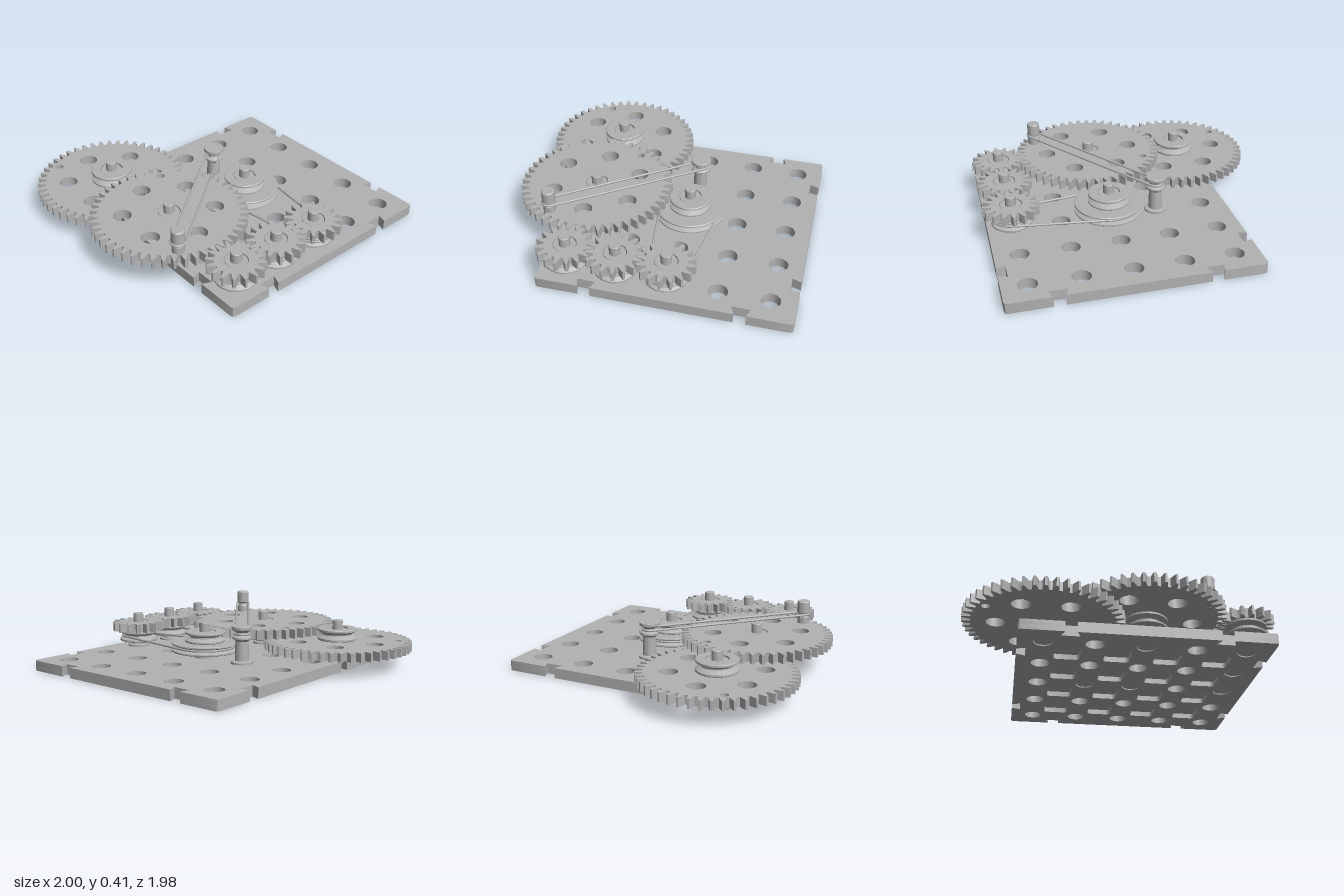
import * as THREE from 'three';
import { toCreasedNormals } from 'three/addons/utils/BufferGeometryUtils.js';

const P = 0.326;            // grid pitch of the base plate
const CX = 0.16, CZ = -0.177; // plate centre
const gridX = i => CX + P * i;
const gridZ = i => CZ + P * i;

export function createModel() {
  const model = new THREE.Group();
  const grey = new THREE.MeshStandardMaterial({ color: 0xb2b2b2 });
  grey.name = 'plastic grey';

  const add = (name, geo, x = 0, y = 0, z = 0, parent = model) => {
    const m = new THREE.Mesh(geo, grey);
    m.name = name;
    m.position.set(x, y, z);
    parent.add(m);
    return m;
  };
  // Extrude a shape drawn in x/z between two heights
  const slab = (shape, y0, y1) => {
    const g = new THREE.ExtrudeGeometry(shape, { depth: y1 - y0, bevelEnabled: false, curveSegments: 16 });
    g.rotateX(Math.PI / 2).translate(0, y1, 0);
    return toCreasedNormals(g, 0.5);
  };
  const turned = pts => toCreasedNormals(
    new THREE.LatheGeometry(pts.map(p => new THREE.Vector2(...p)), 40), 0.4);
  const circle = (x, z, r) => new THREE.Path().absarc(x, z, r, 0, Math.PI * 2, true);

  // Rounded square pocket
  const pocket = (x, z, h, c) => {
    const p = new THREE.Path();
    for (let i = 0; i < 4; i++) {
      const a = i * Math.PI / 2;
      const sx = i === 0 || i === 3 ? 1 : -1, sz = i < 2 ? 1 : -1;
      p.absarc(x + sx * (h - c), z + sz * (h - c), c, a, a + Math.PI / 2, false);
    }
    p.closePath();
    return p;
  };

  // Base plate: dovetail notches on every side, through holes, pockets beneath
  const plateShape = () => {
    const s = new THREE.Shape(), H = 0.815, c = 0.02, d = 0.06;
    const side = [[-H, -H + c], [-H + c * 0.3, -H + c * 0.3], [-H + c, -H]];
    const edge = [[-H + c, -H]];
    for (const m of [-1.5 * P, 1.5 * P]) {
      edge.push([m - 0.038, -H], [m - 0.06, -H + d], [m + 0.06, -H + d], [m + 0.038, -H]);
    }
    const pts = [];
    for (let k = 0; k < 4; k++) {
      const co = Math.round(Math.cos(k * Math.PI / 2)), si = Math.round(Math.sin(k * Math.PI / 2));
      for (const [x, z] of [...side.slice(0, 2), ...edge]) {
        pts.push(new THREE.Vector2(x * co - z * si, x * si + z * co));
      }
    }
    s.setFromPoints(pts);
    for (let i = -2; i <= 2; i++)
      for (let j = -2; j <= 2; j++) s.holes.push(circle(i * P, j * P, 0.062));
    return s;
  };
  const plate = new THREE.Group();
  plate.name = 'basePlate';
  plate.position.set(CX, 0, CZ);
  model.add(plate);
  add('plateTop', slab(plateShape(), 0.035, 0.07), 0, 0, 0, plate);
  const lower = plateShape();
  for (let i = -1.5; i <= 1.5; i++)
    for (let j = -1.5; j <= 1.5; j++) lower.holes.push(pocket(i * P, j * P, 0.085, 0.025));
  add('plateUnderside', slab(lower, 0, 0.035), 0, 0, 0, plate);

  // Gear outline with tapered teeth; phase is in tooth pitches
  const gearShape = (teeth, root, tip, phase, holes) => {
    const pts = [], step = Math.PI * 2 / teeth;
    const tooth = [[-0.34, root], [-0.23, (root + tip) / 2], [-0.1, tip], [0.1, tip], [0.23, (root + tip) / 2], [0.34, root]];
    for (let i = 0; i < teeth; i++)
      for (const [t, r] of tooth) {
        const a = (i + phase + t) * step;
        pts.push(new THREE.Vector2(Math.cos(a) * r, Math.sin(a) * r));
      }
    const s = new THREE.Shape(pts);
    s.holes.push(circle(0, 0, 0.075), ...holes);
    return s;
  };
  const bigHoles = pin => {
    const h = [circle(-0.36, pin[0] * 0.207, 0.027), circle(0.36, -pin[0] * 0.207, 0.027)];
    for (let i = 0; i < 6; i++) {
      const a = i * Math.PI / 3;
      h.push(circle(Math.cos(a) * 0.3, Math.sin(a) * 0.3, 0.06));
    }
    return h;
  };
  const LOW = [0.115, 0.175], HIGH = [0.187, 0.25];

  // V-grooved pulley
  const pulley = (r, y0, y1) => {
    const t = (y1 - y0) * 0.2, m = (y0 + y1) / 2;
    return turned([[0.001, y0], [r - 0.005, y0], [r, y0 + 0.004], [r, y0 + t], [r - 0.035, m - 0.004],
      [r - 0.035, m + 0.004], [r, y1 - t], [r, y1 - 0.004], [r - 0.005, y1], [0.075, y1], [0.075, y1 - 0.02], [0.001, y1 - 0.02]]);
  };
  // Axle with its peg, spacer flanges, collar and tip
  const axle = (x, z) => add('axle', turned([[0.001, 0.005], [0.058, 0.005], [0.058, 0.07], [0.075, 0.07], [0.075, 0.084],
    [0.056, 0.088], [0.056, 0.1], [0.07, 0.104], [0.07, 0.247], [0.036, 0.247], [0.036, 0.308], [0.033, 0.311], [0.001, 0.311]]), x, 0, z);

  // Large gears: the left one carries its pulley on top, the other underneath
  const g1 = [gridX(-2), gridZ(2)], g2 = [gridX(0), gridZ(2)];
  add('largeGearLow', slab(gearShape(48, 0.457, 0.512, 0.25, bigHoles([1])), ...LOW), g1[0], 0, g1[1]);
  add('largeGearPulley', pulley(0.138, 0.175, 0.255), g1[0], 0, g1[1]);
  axle(...g1);
  add('largeGearHigh', slab(gearShape(48, 0.457, 0.512, 0.5, bigHoles([-1])), ...HIGH), g2[0], 0, g2[1]);
  add('largeGearPulley', pulley(0.138, 0.112, 0.187), g2[0], 0, g2[1]);
  axle(...g2);

  // Train of three small gears
  [0, 1, 2].forEach(j => {
    const x = gridX(2), z = gridZ(j);
    add('smallGear', slab(gearShape(16, 0.133, 0.186, j === 1 ? 0.5 : 0, []), ...HIGH), x, 0, z);
    add('smallGearPulley', pulley(0.135, 0.112, 0.187), x, 0, z);
    axle(x, z);
  });

  // Stepped centre pulley
  add('centrePulleyLarge', pulley(0.23, 0.115, 0.178), gridX(0), 0, gridZ(0));
  add('centrePulleySmall', pulley(0.138, 0.178, 0.25), gridX(0), 0, gridZ(0));
  axle(gridX(0), gridZ(0));

  // Spool post
  const spool = [gridX(-1), gridZ(0)];
  add('spoolPost', turned([[0.001, 0.005], [0.058, 0.005], [0.058, 0.07], [0.075, 0.07], [0.075, 0.084], [0.048, 0.09],
    [0.044, 0.22], [0.062, 0.236], [0.062, 0.248], [0.037, 0.262], [0.037, 0.278], [0.068, 0.3], [0.068, 0.318],
    [0.064, 0.321], [0.001, 0.321]]), spool[0], 0, spool[1]);

  // Crank handle on the upper large gear
  const crank = [g2[0] + 0.36, g2[1] + 0.207];
  add('crankHandle', turned([[0.001, 0.186], [0.027, 0.186], [0.027, 0.25], [0.04, 0.25], [0.04, 0.295], [0.034, 0.305],
    [0.034, 0.318], [0.044, 0.325], [0.044, 0.4], [0.038, 0.408], [0.001, 0.408]]), crank[0], 0, crank[1]);

  // Round belt wrapped around two pulleys given as [x, y, z, radius]
  const belt = (name, a, b) => {
    const d = Math.hypot(b[0] - a[0], b[2] - a[2]);
    const th = Math.atan2(b[2] - a[2], b[0] - a[0]), al = Math.acos((a[3] - b[3]) / d);
    const pts = [];
    const arc = (c, from, to) => {
      for (let i = 0; i <= 20; i++) {
        const t = from + (to - from) * i / 20;
        pts.push(new THREE.Vector3(c[0] + Math.cos(t) * c[3], c[1], c[2] + Math.sin(t) * c[3]));
      }
    };
    arc(a, th + al, th + Math.PI * 2 - al);
    arc(b, th - al, th + al);
    const path = new THREE.CurvePath();
    pts.forEach((p, i) => path.add(new THREE.LineCurve3(p, pts[(i + 1) % pts.length])));
    add(name, new THREE.TubeGeometry(path, 200, 0.008, 8, true));
  };
  belt('crankBelt', [spool[0], 0.268, spool[1], 0.046], [crank[0], 0.314, crank[1], 0.044]);
  belt('driveBelt', [gridX(0), 0.147, gridZ(0), 0.202], [gridX(2), 0.149, gridZ(0), 0.115]);

  return model;
}
